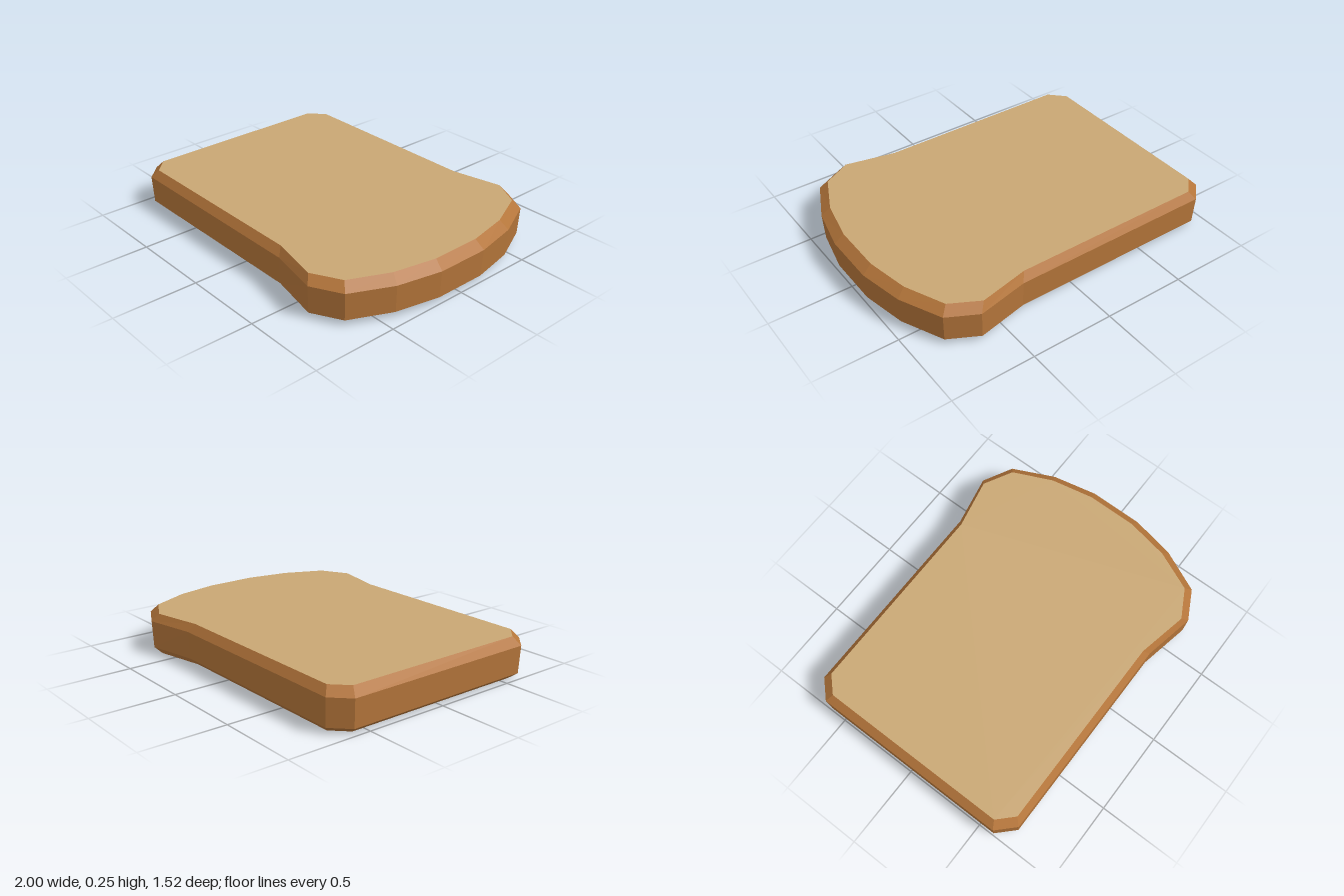
import * as THREE from 'three';

// Half outlines (x, z) of the slice: widest edge and inset edge of the cut face
const OUTER = [[-1, 0.6], [-0.9, 0.7], [0.35, 0.7], [0.655, 0.762], [0.83, 0.67], [0.945, 0.425], [1, 0.16]];
const INNER = [[-0.955, 0.575], [-0.865, 0.665], [0.32, 0.665], [0.62, 0.728], [0.79, 0.637], [0.895, 0.405], [0.945, 0.15]];

// Closed ring at height y; t blends from the outer to the inset outline
function ring(y, t) {
  const half = OUTER.map(([x, z], i) => [
    THREE.MathUtils.lerp(x, INNER[i][0], t),
    THREE.MathUtils.lerp(z, INNER[i][1], t),
  ]);
  const back = half.map(([x, z]) => new THREE.Vector3(x, y, -z));
  const front = half.map(([x, z]) => new THREE.Vector3(x, y, z)).reverse();
  return [...back, ...front];
}

// Faceted band of quads joining a stack of rings, lowest first
function loft(rings) {
  const points = [];
  for (let r = 0; r < rings.length - 1; r++) {
    const low = rings[r], high = rings[r + 1];
    low.forEach((a, i) => {
      const j = (i + 1) % low.length;
      points.push(a, high[i], low[j], low[j], high[i], high[j]);
    });
  }
  const geometry = new THREE.BufferGeometry().setFromPoints(points);
  geometry.computeVertexNormals();
  return geometry;
}

export function createModel() {
  const crustBrown = new THREE.MeshStandardMaterial({ color: 0xb4753a });
  const crumbTan = new THREE.MeshStandardMaterial({ color: 0xc9a774 });
  for (const material of [crustBrown, crumbTan]) {
    material.side = THREE.DoubleSide;
    material.flatShading = true;
  }

  const model = new THREE.Group();
  model.name = 'breadSlice';

  // Crust: lower bevel, slightly tapered wall, upper bevel; open underneath
  const topRing = ring(0.245, 1);
  const crust = new THREE.Mesh(
    loft([ring(0, 1.15), ring(0.035, 0.17), ring(0.197, 0), topRing]),
    crustBrown,
  );
  crust.name = 'crust';

  // Crumb: flat cut face closing the top
  const outline = new THREE.Shape(topRing.map((p) => new THREE.Vector2(p.x, -p.z)));
  const crumb = new THREE.Mesh(new THREE.ShapeGeometry(outline).rotateX(-Math.PI / 2), crumbTan);
  crumb.position.y = 0.245;
  crumb.name = 'crumb';

  model.add(crust, crumb);
  return model;
}
